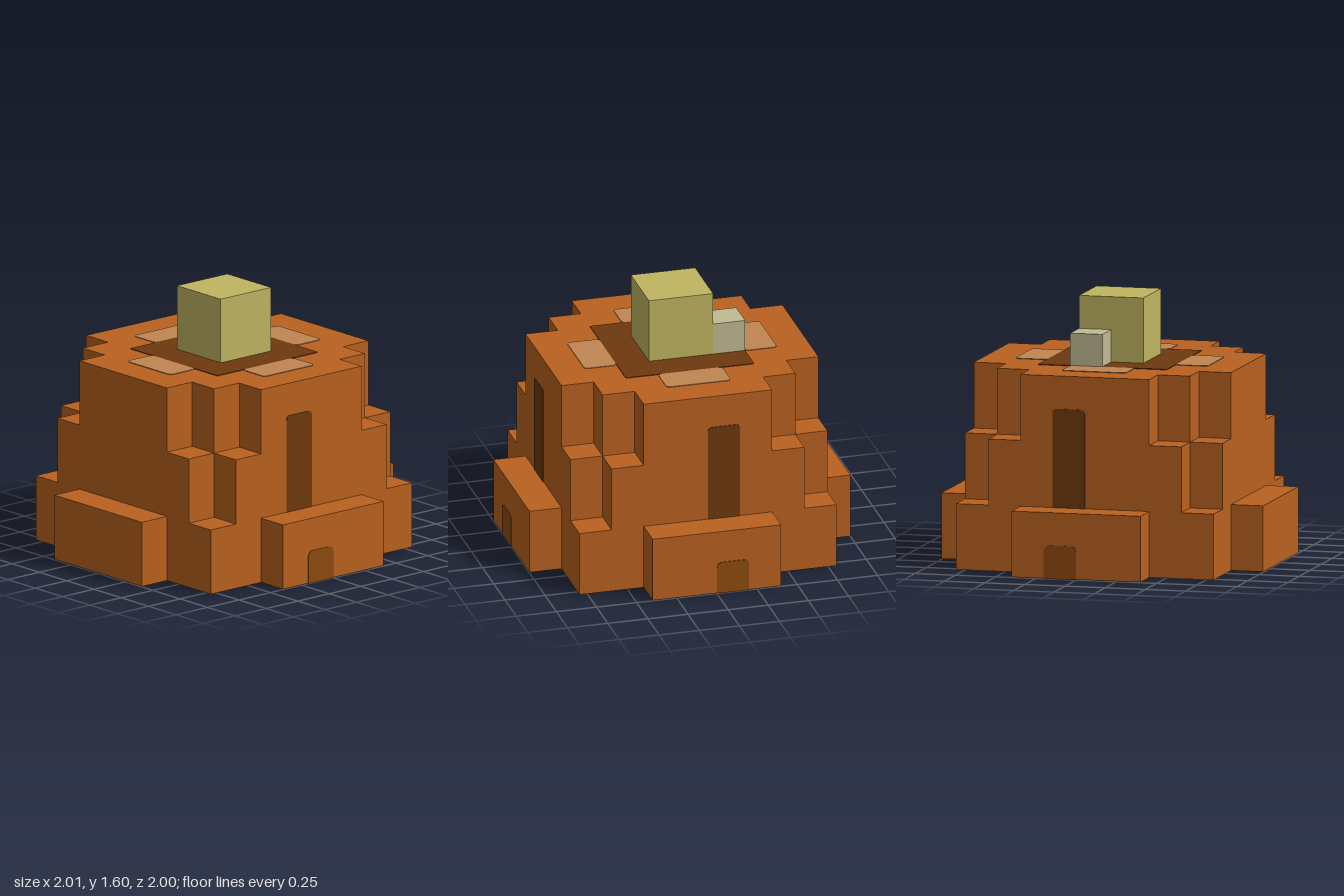
import * as THREE from 'three';

const mat = (name, color) => {
  const m = new THREE.MeshStandardMaterial({ color });
  m.name = name;
  return m;
};

export function createModel() {
  const model = new THREE.Group();
  const clay = mat('orange clay', 0xb9611f);
  const dark = mat('dark brown', 0x6f390e);
  const brown = mat('mid brown', 0x8f4a0f);
  const tan = mat('light tan', 0xc08552);
  const yellow = mat('straw yellow', 0xbfb561);
  const pale = mat('pale stone', 0xc1ba92);

  const add = (name, geometry, material, x = 0, y = 0, z = 0, parent = model) => {
    const mesh = new THREE.Mesh(geometry, material);
    mesh.name = name;
    mesh.position.set(x, y, z);
    parent.add(mesh);
    return mesh;
  };

  // Outline with four equal corners, given as one corner running from the front to the left side
  const stepped = (corner) => {
    const back = [...corner].reverse();
    const pts = [
      ...corner,
      ...back.map(([x, y]) => [x, -y]),
      ...corner.map(([x, y]) => [-x, -y]),
      ...back.map(([x, y]) => [-x, y]),
    ];
    return new THREE.Shape(pts.map(([x, y]) => new THREE.Vector2(x, y)));
  };
  const slab = (shape, height) =>
    new THREE.ExtrudeGeometry(shape, { depth: height, bevelEnabled: false }).rotateX(-Math.PI / 2);

  // Body: three tiers, the corners cut back further on each
  const body = new THREE.Group();
  body.name = 'body';
  model.add(body);
  const tiers = [
    ['lowerTier', [[0.4, 1], [0.4, 0.8], [0.8, 0.8], [0.8, 0.4], [1, 0.4]]],
    ['middleTier', [[0.6, 0.8], [0.6, 0.6], [0.8, 0.6]]],
    ['upperTier', [[0.4, 0.8], [0.4, 0.6], [0.6, 0.6], [0.6, 0.4], [0.8, 0.4]]],
  ];
  tiers.forEach(([name, corner], i) => add(name, slab(stepped(corner), 0.4), clay, 0, i * 0.4, 0, body));

  // Thin plate centred on x, standing on y = 0, with rounded top and optionally bottom corners
  const plate = (w, h, r, rb = r) => {
    const a = w / 2, s = new THREE.Shape();
    s.moveTo(-a + rb, 0).lineTo(a - rb, 0).quadraticCurveTo(a, 0, a, rb);
    s.lineTo(a, h - r).quadraticCurveTo(a, h, a - r, h);
    s.lineTo(-a + r, h).quadraticCurveTo(-a, h, -a, h - r);
    s.lineTo(-a, rb).quadraticCurveTo(-a, 0, -a + rb, 0);
    return new THREE.ExtrudeGeometry(s, { depth: 0.004, bevelEnabled: false });
  };
  const flat = (w, d, r) => plate(w, d, r).translate(0, -d / 2, 0).rotateX(-Math.PI / 2);

  // Doorways on the back and both sides; offset runs along the wall
  const doors = [['left', Math.PI / 2, -0.1], ['back', Math.PI, 0.1], ['right', -Math.PI / 2, -0.1]];
  for (const [side, turn, offset] of doors) {
    const wall = new THREE.Group();
    wall.name = side + 'Doorways';
    wall.rotation.y = turn;
    model.add(wall);
    add(side + 'TallDoor', plate(0.2, 0.6, 0.03, 0), dark, offset, 0.4, 0.8, wall);
    add(side + 'LowDoor', plate(0.2, 0.2, 0.04, 0), brown, offset, 0, 1, wall);
    add(side + 'DoorUnderside', flat(0.2, 0.2, 0.02), brown, offset, -0.003, 0.9, wall);
  }

  // Roof: dark centre, a light patch on each side, and two blocks
  add('roofCentre', flat(0.8, 0.8, 0.01), dark, 0, 1.2, 0);
  for (const s of [-1, 1]) {
    add('roofPatch', flat(0.4, 0.2, 0.03), tan, 0, 1.2, s * 0.5);
    add('roofPatch', flat(0.2, 0.4, 0.03), tan, s * 0.5, 1.2, 0);
  }
  add('topBlock', new THREE.BoxGeometry(0.4, 0.4, 0.4), yellow, 0, 1.4, 0);
  add('sideBlock', new THREE.BoxGeometry(0.2, 0.2, 0.2), pale, -0.3, 1.3, -0.1);

  // Floor panel under the body
  const floor = stepped([[0.2, 0.8], [0.2, 0.6], [0.6, 0.6], [0.6, 0.2], [0.8, 0.2]]);
  add('floorPanel', slab(floor, 0.004), tan, 0, -0.003, 0);

  return model;
}
